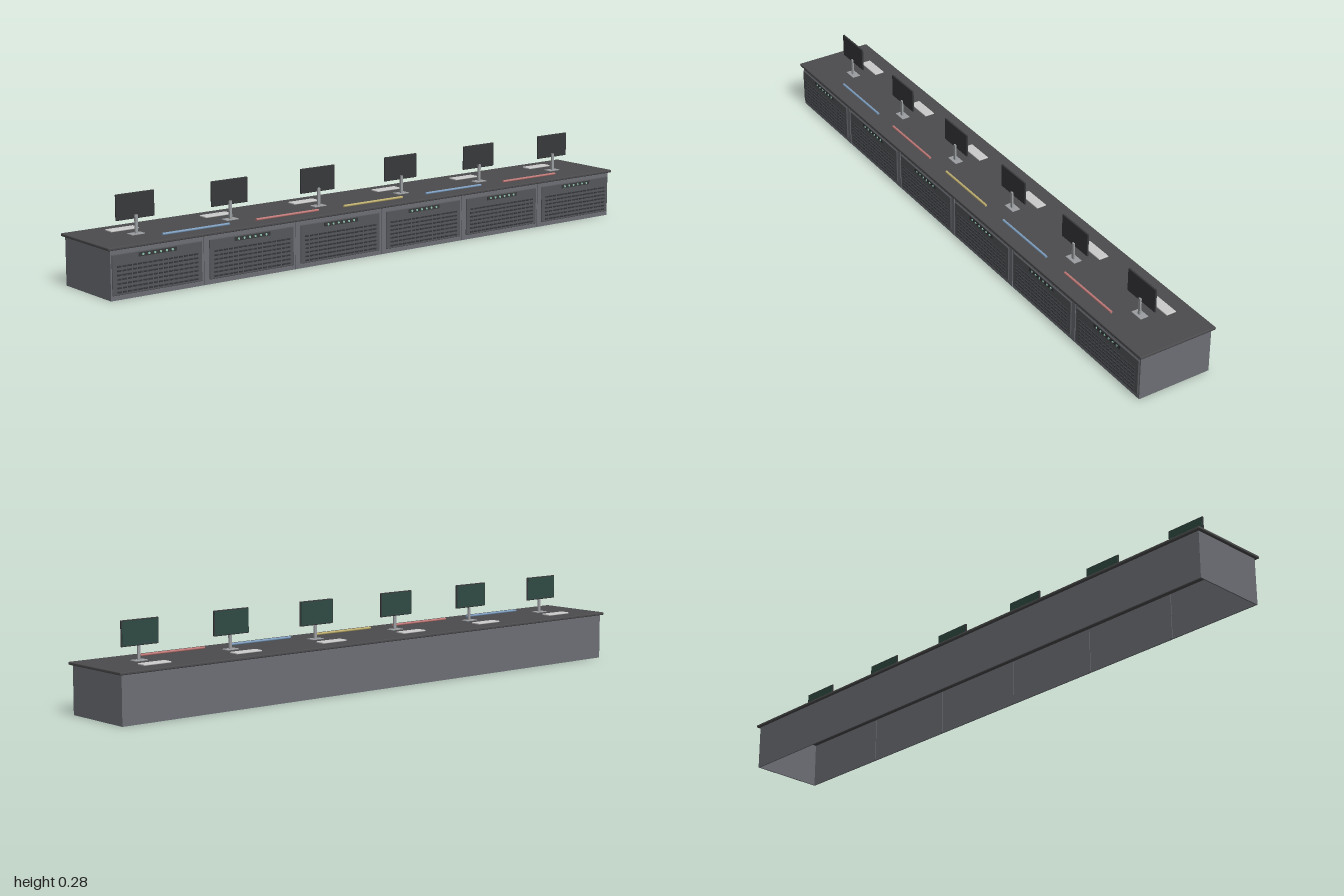
import * as THREE from 'three';
import { RoundedBoxGeometry } from 'three/addons/geometries/RoundedBoxGeometry.js';
import { mergeGeometries } from 'three/addons/utils/BufferGeometryUtils.js';

const paint = (color) => new THREE.MeshStandardMaterial({ color });

export function createModel() {
  const model = new THREE.Group();
  const mats = {
    wall: paint(0x6c6e74), top: paint(0x4c4c4e), panel: paint(0x55575b), louver: paint(0x3c3e42),
    dark: paint(0x38393b), screen: paint(0x2f4a42), light: paint(0xcccccc), metal: paint(0x9a9da0),
    led: paint(0x8fc4ae), blue: paint(0x7f9fc0), red: paint(0xc07a78), yellow: paint(0xc0b070),
  };

  function add(parent, name, geometry, mat, x = 0, y = 0, z = 0) {
    const mesh = new THREE.Mesh(geometry, mats[mat]);
    mesh.name = name;
    mesh.position.set(x, y, z);
    parent.add(mesh);
    return mesh;
  }
  const box = (w, h, d) => new THREE.BoxGeometry(w, h, d);
  const rounded = (w, h, d, r) => new RoundedBoxGeometry(w, h, d, 2, r);

  // Hollow cabinet, open underneath
  const W = 1.98, H = 0.148, D = 0.248, T = 0.004;
  for (const s of [-1, 1]) {
    add(model, s > 0 ? 'leftEndWall' : 'rightEndWall', box(T, H, D), 'wall', s * (W - T) / 2, H / 2, 0);
    add(model, s > 0 ? 'frontWall' : 'backWall', box(W - 2 * T, H, T), 'wall', 0, H / 2, s * (D - T) / 2);
  }
  add(model, 'deskTop', rounded(2, 0.009, 0.266, 0.003), 'top', 0, 0.1525, 0);

  // Posts between the bays, showing on both sides of the front wall
  for (let i = 1; i < 6; i++) {
    add(model, 'bayPost', box(0.01, 0.144, 0.008), 'wall', -1 + i / 3, 0.074, 0.122);
  }

  // One panel's rows of short louvers, merged into a single geometry
  const louvers = [];
  for (let row = 0; row < 7; row++) {
    for (let col = 0; col < 16; col++) {
      const slat = box(0.013, 0.005, 0.003);
      slat.rotateX(0.25);
      slat.translate((col - 7.5) * 0.0175, 0.024 + row * 0.0125, 0.1295);
      louvers.push(slat);
    }
  }
  const louverGeometry = mergeGeometries(louvers);

  // Six identical workstations
  for (let i = 0; i < 6; i++) {
    const bay = new THREE.Group();
    bay.name = 'workstation';
    bay.position.x = (i - 2.5) / 3;
    model.add(bay);

    // Front panel with louvers and a row of indicator lights
    add(bay, 'frontPanel', rounded(0.306, 0.12, 0.005, 0.002), 'panel', 0, 0.075, 0.1265);
    add(bay, 'louvers', louverGeometry, 'louver');
    add(bay, 'indicatorStrip', box(0.13, 0.012, 0.002), 'dark', 0, 0.125, 0.1285);
    for (let k = 0; k < 6; k++) {
      const led = add(bay, 'indicatorLight', new THREE.CylinderGeometry(0.0035, 0.0035, 0.003, 12),
        'led', (k - 2.5) * 0.02, 0.125, 0.13);
      led.rotation.x = Math.PI / 2;
    }

    // Monitor, with its screen towards the operator at the back
    add(bay, 'standBase', rounded(0.045, 0.003, 0.028, 0.001), 'metal', 0, 0.1585, 0.014);
    add(bay, 'standPost', box(0.009, 0.056, 0.006), 'metal', 0, 0.187, 0.0155);
    add(bay, 'monitor', rounded(0.132, 0.078, 0.006, 0.002), 'dark', 0, 0.242, 0.01);
    add(bay, 'screen', box(0.126, 0.072, 0.001), 'screen', 0, 0.242, 0.0068);

    // Keyboard
    add(bay, 'keyboard', rounded(0.096, 0.005, 0.034, 0.002), 'light', 0, 0.1595, -0.063);
  }

  // Coloured cables running between neighbouring workstations
  ['blue', 'red', 'yellow', 'blue', 'red'].forEach((color, i) => {
    const cable = add(model, 'cable', new THREE.CylinderGeometry(0.004, 0.004, 0.235, 12),
      color, (i - 2) / 3, 0.161, 0.079);
    cable.rotation.z = Math.PI / 2;
  });

  return model;
}
